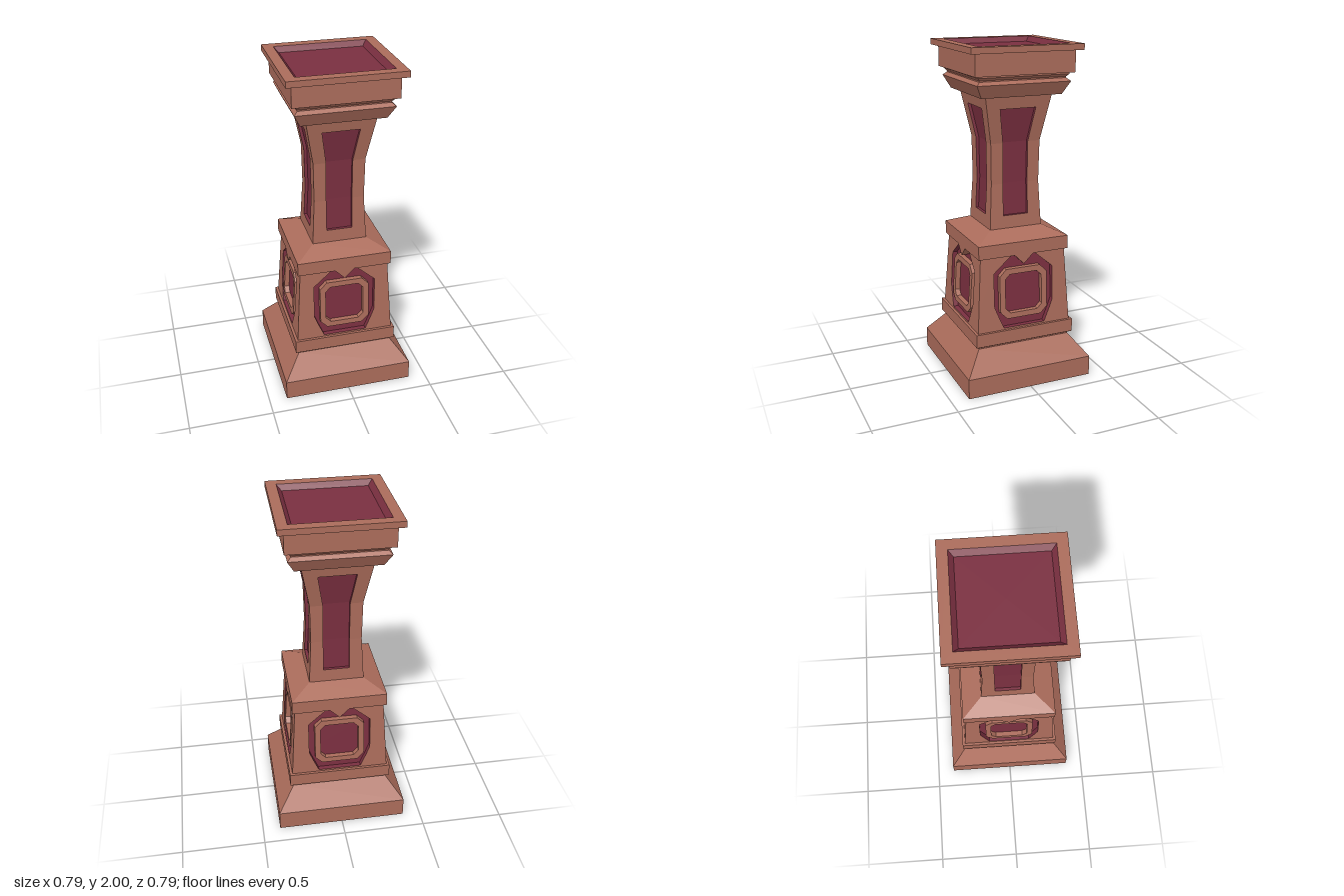
import * as THREE from 'three';

const brick = new THREE.MeshStandardMaterial({ name: 'terracotta', color: 0xab6c5b });
const maroon = new THREE.MeshStandardMaterial({ name: 'maroon', color: 0x7a2f40 });

// Square turned section; profile is [half width, y] running bottom to top
function squareTurned(name, profile, material) {
  const pts = profile.map(([w, y]) => new THREE.Vector2(w * Math.SQRT2, y));
  const geo = new THREE.LatheGeometry(pts, 4).rotateY(Math.PI / 4).toNonIndexed();
  geo.computeVertexNormals();
  const mesh = new THREE.Mesh(geo, material);
  mesh.name = name;
  return mesh;
}

// Half width of a [half width, y] profile at height y
function widthAt(profile, y) {
  for (let i = 1; i < profile.length; i++) {
    const [w0, y0] = profile[i - 1], [w1, y1] = profile[i];
    if (y <= y1 || i === profile.length - 1) return w0 + (w1 - w0) * (y - y0) / (y1 - y0);
  }
}

function quadMesh(name, quads, material) {
  const geo = new THREE.BufferGeometry();
  const pos = quads.flatMap(([a, b, c, d]) => [a, b, c, a, c, d].flat());
  geo.setAttribute('position', new THREE.Float32BufferAttribute(pos, 3));
  geo.computeVertexNormals();
  const mesh = new THREE.Mesh(geo, material);
  mesh.name = name;
  return mesh;
}

// One side of a tapered block with a recessed panel given as [half width, y] rows
function panelledSide(name, profile, panel, depth) {
  const at = (x, y, d = 0) => [x, y, widthAt(profile, y) - d];
  const edge = y => widthAt(profile, y);
  const frame = [], recess = [];
  const band = (y0, y1) => {
    if (y1 > y0) frame.push([at(-edge(y0), y0), at(edge(y0), y0), at(edge(y1), y1), at(-edge(y1), y1)]);
  };
  const [bw, by] = panel[0], [tw, ty] = panel[panel.length - 1];
  band(profile[0][1], by);
  band(ty, profile[profile.length - 1][1]);
  for (let i = 1; i < panel.length; i++) {
    const [w0, y0] = panel[i - 1], [w1, y1] = panel[i];
    frame.push([at(-edge(y0), y0), at(-w0, y0), at(-w1, y1), at(-edge(y1), y1)]);
    frame.push([at(w0, y0), at(edge(y0), y0), at(edge(y1), y1), at(w1, y1)]);
    recess.push([at(-w0, y0, depth), at(w0, y0, depth), at(w1, y1, depth), at(-w1, y1, depth)]);
    recess.push([at(-w0, y0), at(-w0, y0, depth), at(-w1, y1, depth), at(-w1, y1)]);
    recess.push([at(w0, y0, depth), at(w0, y0), at(w1, y1), at(w1, y1, depth)]);
  }
  recess.push([at(-bw, by), at(bw, by), at(bw, by, depth), at(-bw, by, depth)]);
  recess.push([at(-tw, ty, depth), at(tw, ty, depth), at(tw, ty), at(-tw, ty)]);
  const side = new THREE.Group();
  side.name = name;
  side.add(quadMesh(name + 'Frame', frame, brick), quadMesh(name + 'Recess', recess, maroon));
  return side;
}

// Rectangle with cut corners
function octagon(w, y0, y1, c) {
  return [[-w + c, y0], [w - c, y0], [w, y0 + c], [w, y1 - c], [w - c, y1], [-w + c, y1], [-w, y1 - c], [-w, y0 + c]]
    .map(([x, y]) => new THREE.Vector2(x, y));
}

export function createModel() {
  const model = new THREE.Group();
  model.name = 'pedestal';

  // Stacked mouldings
  model.add(squareTurned('base', [[0, 0], [0.393, 0], [0.393, 0.12], [0.29, 0.252], [0.29, 0.258],
    [0.311, 0.27], [0.311, 0.35], [0.25, 0.35]], brick));
  model.add(squareTurned('waistSlab', [[0.2, 0.8], [0.283, 0.8], [0.283, 0.88], [0.163, 0.932], [0.12, 0.932]], brick));
  model.add(squareTurned('capital', [[0.15, 1.715], [0.245, 1.715], [0.283, 1.79], [0.262, 1.808], [0.262, 1.815],
    [0.275, 1.83], [0.275, 1.84], [0.3, 1.84], [0.3, 1.965], [0.335, 1.965], [0.335, 2], [0.275, 2]], brick));
  model.add(squareTurned('topRecess', [[0.275, 2], [0.248, 1.97], [0, 1.97]], maroon));

  const die = [[0.295, 0.35], [0.267, 0.8]];
  const diePanel = [[0.13, 0.36], [0.165, 0.44], [0.187, 0.495], [0.187, 0.7], [0.07, 0.8]];
  const shaft = [[0.163, 0.93], [0.149, 1.2], [0.153, 1.44], [0.204, 1.715]];
  const shaftPanel = [[0.077, 1.008], [0.077, 1.2], [0.078, 1.44], [0.11, 1.64]];

  // The four sides are alike
  for (let i = 0; i < 4; i++) {
    const side = new THREE.Group();
    side.name = 'side' + (i + 1);
    side.rotation.y = i * Math.PI / 2;
    side.add(panelledSide('die', die, diePanel, 0.03));
    side.add(panelledSide('shaft', shaft, shaftPanel, 0.018));

    // Raised ring, leaning with the tapered face
    const ringShape = new THREE.Shape(octagon(0.15, 0.414, 0.717, 0.042));
    ringShape.holes.push(new THREE.Path(octagon(0.116, 0.447, 0.684, 0.03)));
    const ringGeo = new THREE.ExtrudeGeometry(ringShape, { depth: 0.03, bevelEnabled: false });
    const p = ringGeo.attributes.position;
    for (let k = 0; k < p.count; k++) p.setZ(k, p.getZ(k) + widthAt(die, p.getY(k)) - 0.03);
    ringGeo.computeVertexNormals();
    const ring = new THREE.Mesh(ringGeo, brick);
    ring.name = 'panelRing';

    // Pointed tab below the slab
    const tabShape = new THREE.Shape([[-0.058, 0.8], [0, 0.742], [0.058, 0.8]].map(([x, y]) => new THREE.Vector2(x, y)));
    const tab = new THREE.Mesh(new THREE.ExtrudeGeometry(tabShape, { depth: 0.053, bevelEnabled: false }), brick);
    tab.position.z = 0.23;
    tab.name = 'slabTab';
    side.add(ring, tab);
    model.add(side);
  }
  return model;
}
